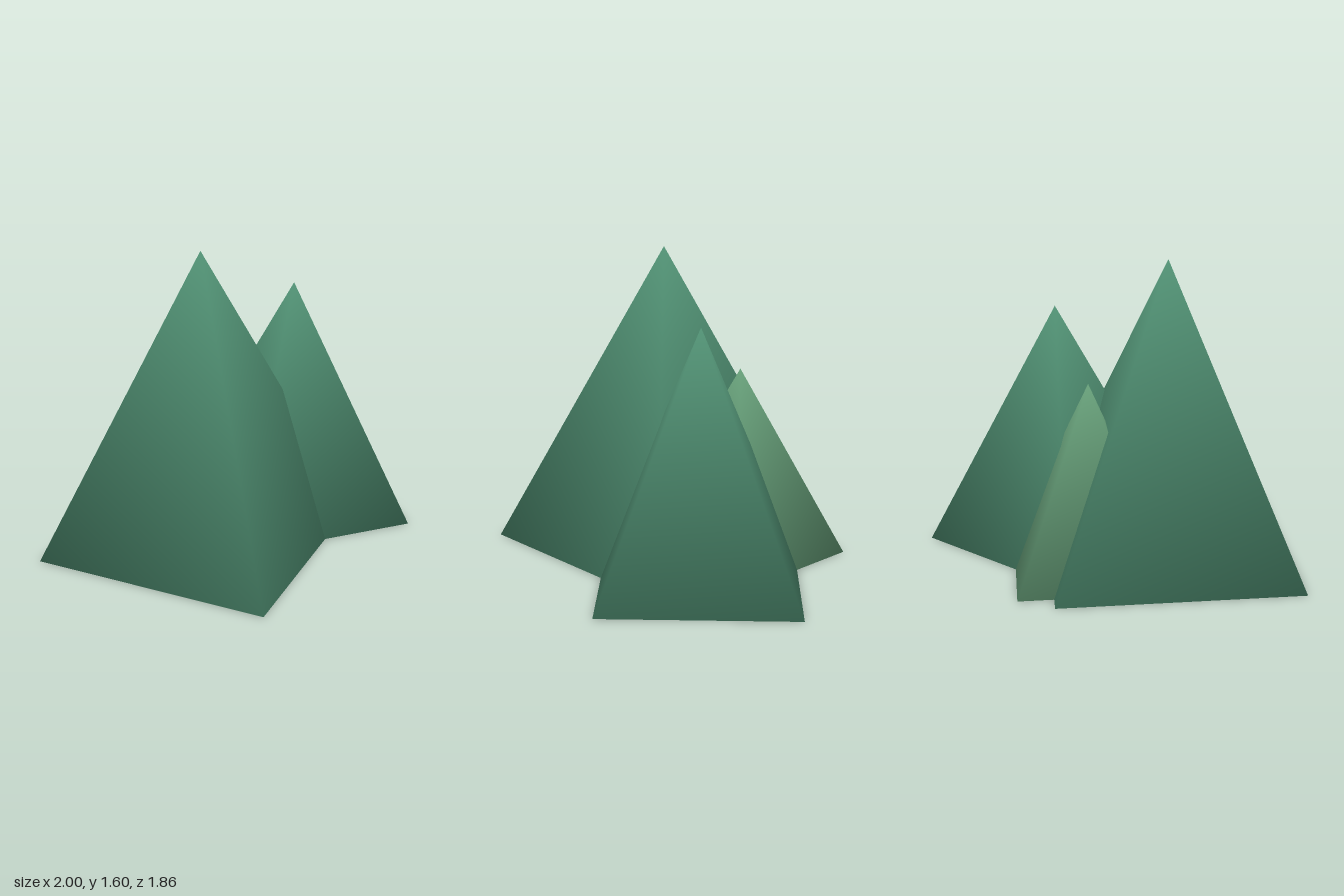
import * as THREE from 'three';

// Four-sided peak with a closed base and soft normals shared between its faces.
function peak(name, color, radius, height, x, z, turn) {
  const positions = [0, height, 0];
  const normals = [0, 1, 0];

  // Corner normals: side and base normals weighted by the face angle at the corner
  const side = radius * Math.SQRT2;
  const slant = Math.hypot(height, side / 2);
  const sideAngle = Math.atan2(slant, side / 2);
  const outward = sideAngle * Math.SQRT2 * height / slant;
  const upward = sideAngle * side / slant - Math.PI / 2;
  const length = Math.hypot(outward, upward);

  for (let i = 0; i < 4; i++) {
    const a = turn + i * Math.PI / 2;
    const s = Math.sin(a), c = Math.cos(a);
    positions.push(s * radius, 0, c * radius);
    normals.push(s * outward / length, upward / length, c * outward / length);
  }

  // Four slopes, then the base
  const index = [];
  for (let i = 0; i < 4; i++) index.push(0, 1 + i, 1 + (i + 1) % 4);
  index.push(1, 3, 2, 1, 4, 3);

  const geometry = new THREE.BufferGeometry();
  geometry.setAttribute('position', new THREE.Float32BufferAttribute(positions, 3));
  geometry.setAttribute('normal', new THREE.Float32BufferAttribute(normals, 3));
  geometry.setIndex(index);

  const mesh = new THREE.Mesh(geometry, new THREE.MeshStandardMaterial({ color }));
  mesh.name = name;
  mesh.position.set(x, 0, z);
  return mesh;
}

export function createModel() {
  const group = new THREE.Group();
  group.name = 'mountains';
  group.add(
    peak('mainPeak', 0x539577, 0.9, 1.6, -0.1, 0.03, 0),
    peak('sidePeak', 0x539577, 0.5 * Math.SQRT2, 1.3, 0.5, -0.17, Math.PI / 4),
    peak('rearPeak', 0x69a37c, 0.56, 1.0, 0.1, -0.37, 0),
  );
  return group;
}
